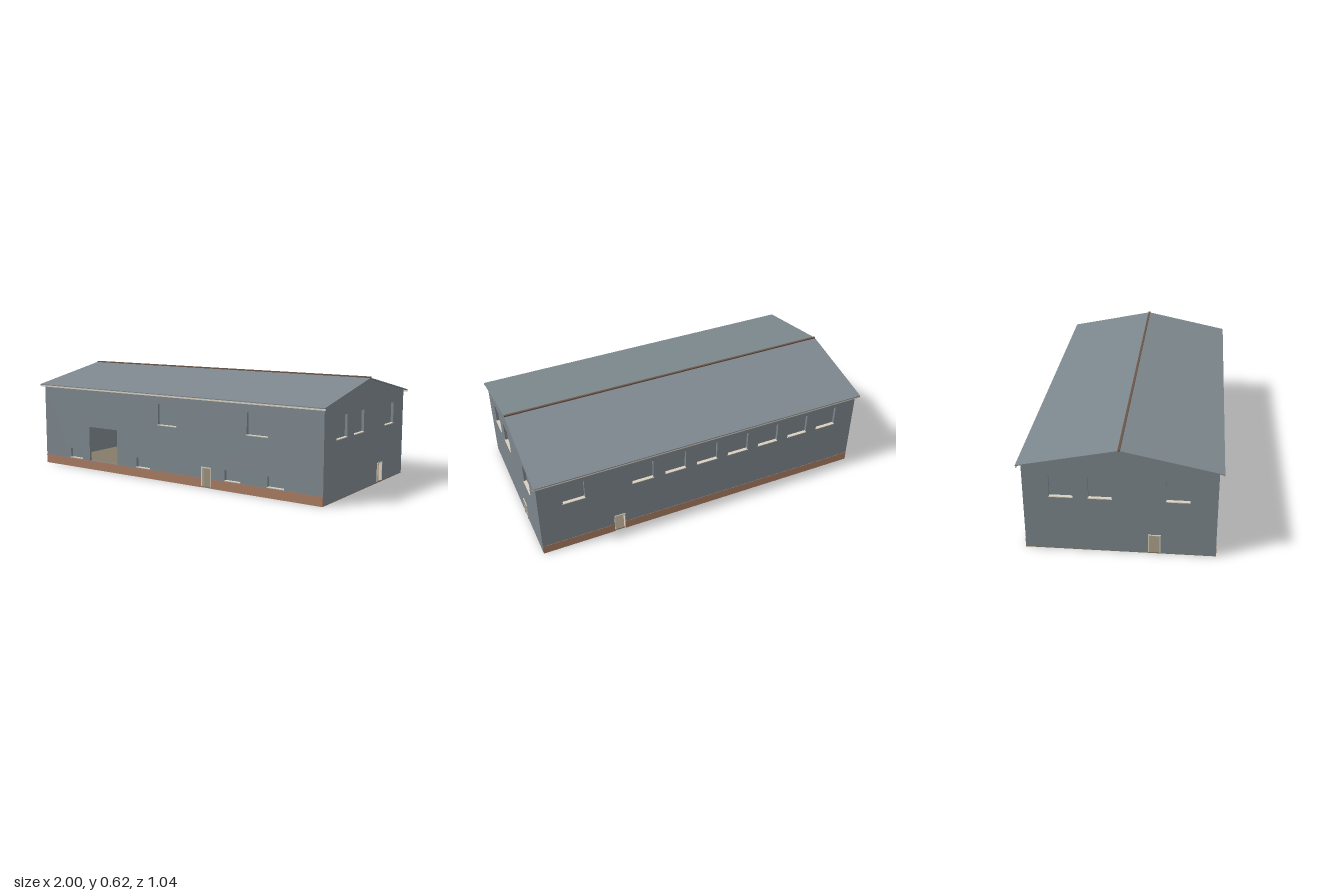
import * as THREE from 'three';

const mat = (name, color) => {
  const m = new THREE.MeshStandardMaterial({ color });
  m.name = name;
  return m;
};

export function createModel() {
  const grey = mat('wall grey', 0x7c868c);
  const roofGrey = mat('roof grey', 0x7c878d);
  const brick = mat('plinth brown', 0xa87b62);
  const cream = mat('trim cream', 0xd8d0c0);
  const concrete = mat('floor beige', 0x857b6a);
  const ridgeBrown = mat('ridge brown', 0x6b5548);

  const model = new THREE.Group();
  model.name = 'hall';
  const T = 0.015; // wall thickness
  const PLINTH = 0.052, EAVE = 0.5, PEAK = 0.604;

  const add = (parent, name, geo, material) => {
    const m = new THREE.Mesh(geo, material);
    m.name = name;
    parent.add(m);
    return m;
  };
  // Box given by its limits
  const box = (parent, name, material, x0, x1, y0, y1, z0, z1) =>
    add(parent, name, new THREE.BoxGeometry(x1 - x0, y1 - y0, z1 - z0), material)
      .position.set((x0 + x1) / 2, (y0 + y1) / 2, (z0 + z1) / 2);

  // One wall, built facing +z at distance d, then turned into place
  function wall(name, { half, d, turn, peak, base, windows, doors, gate }) {
    const g = new THREE.Group();
    g.name = name;
    const s = new THREE.Shape();
    s.moveTo(-half, base);
    for (const [a, b, , top] of doors) {
      s.lineTo(a, base); s.lineTo(a, top); s.lineTo(b, top); s.lineTo(b, base);
    }
    s.lineTo(half, base);
    s.lineTo(half, EAVE);
    if (peak) s.lineTo(0, PEAK);
    s.lineTo(-half, EAVE);
    const holes = gate ? [...windows, gate] : windows;
    for (const [a, b, lo, hi] of holes) {
      const h = new THREE.Path();
      h.moveTo(a, lo); h.lineTo(a, hi); h.lineTo(b, hi); h.lineTo(b, lo);
      h.closePath();
      s.holes.push(h);
    }
    const geo = new THREE.ExtrudeGeometry(s, { depth: T, bevelEnabled: false });
    geo.translate(0, 0, d - T);
    add(g, 'wallPanel', geo, grey);

    // Recessed window panes with cream sills
    for (const [a, b, lo, hi] of windows) {
      box(g, 'windowPane', grey, a - 0.003, b + 0.003, lo - 0.003, hi + 0.003, d - T - 0.004, d - T);
      box(g, 'windowSill', cream, a - 0.002, b + 0.002, lo - 0.002, lo + 0.002, d - T, d + 0.004);
    }
    // Open doorways with cream frames
    for (const [a, b, lo, hi] of doors) {
      const f = 0.005, z0 = d - T, z1 = d + 0.004;
      box(g, 'doorJamb', cream, a, a + f, lo, hi, z0, z1);
      box(g, 'doorJamb', cream, b - f, b, lo, hi, z0, z1);
      box(g, 'doorHead', cream, a, b, hi - f, hi, z0, z1);
    }
    // Brown plinth, interrupted by the doorways
    if (base === PLINTH) {
      const stops = [-half + 0.001, ...doors.flatMap(o => [o[0], o[1]]), half - 0.001];
      for (let i = 0; i < stops.length; i += 2)
        box(g, 'plinth', brick, stops[i], stops[i + 1], 0, PLINTH, d - T, d + 0.002);
    }
    g.rotation.y = turn;
    model.add(g);
  }

  const upper = (u, w = 0.12) => [u, u + w, 0.32, 0.44];
  const lower = u => [u, u + 0.1, 0.057, 0.115];
  const door = (u, w = 0.065) => [u, u + w, 0.008, 0.116];

  wall('frontWall', {
    half: 0.985, d: 0.495, turn: 0, base: PLINTH,
    windows: [upper(-0.07, 0.13), upper(0.53, 0.13), ...[-0.77, -0.235, 0.39, 0.66].map(lower)],
    doors: [door(0.235)],
    gate: [-0.61, -0.385, 0.053, 0.26],
  });
  wall('backWall', {
    half: 0.985, d: 0.495, turn: Math.PI, base: PLINTH,
    windows: [-0.847, -0.447, -0.25, -0.054, 0.142, 0.338, 0.535, 0.73].map(u => upper(u, 0.125)),
    doors: [door(-0.563)],
  });
  for (const side of [1, -1])
    wall(side > 0 ? 'leftGable' : 'rightGable', {
      half: 0.495, d: 0.985, turn: side * Math.PI / 2, base: 0.006, peak: true,
      windows: [-0.36, -0.16, 0.235].map(u => upper(u)),
      doors: [door(0.145)],
    });

  // Ground slab and inner mezzanine
  box(model, 'floor', concrete, -0.983, 0.983, 0, 0.007, -0.493, 0.493);
  box(model, 'mezzanine', brick, -0.965, 0.965, 0.22, 0.27, -0.475, -0.02);

  // Thin pitched roof
  const r = new THREE.Shape();
  r.moveTo(-0.52, 0.496);
  r.lineTo(0, 0.603);
  r.lineTo(0.52, 0.496);
  r.lineTo(0.52, 0.501);
  r.lineTo(0, 0.609);
  r.lineTo(-0.52, 0.501);
  const roof = new THREE.ExtrudeGeometry(r, { depth: 2, bevelEnabled: false });
  roof.translate(0, 0, -1);
  roof.rotateY(Math.PI / 2);
  add(model, 'roof', roof, roofGrey);
  box(model, 'ridgeCap', ridgeBrown, -1, 1, 0.606, 0.615, -0.006, 0.006);

  // Eave gutters
  for (const s of [1, -1])
    box(model, 'gutter', cream, -1, 1, 0.487, 0.497, s * 0.516 - 0.003, s * 0.516 + 0.003);

  return model;
}
